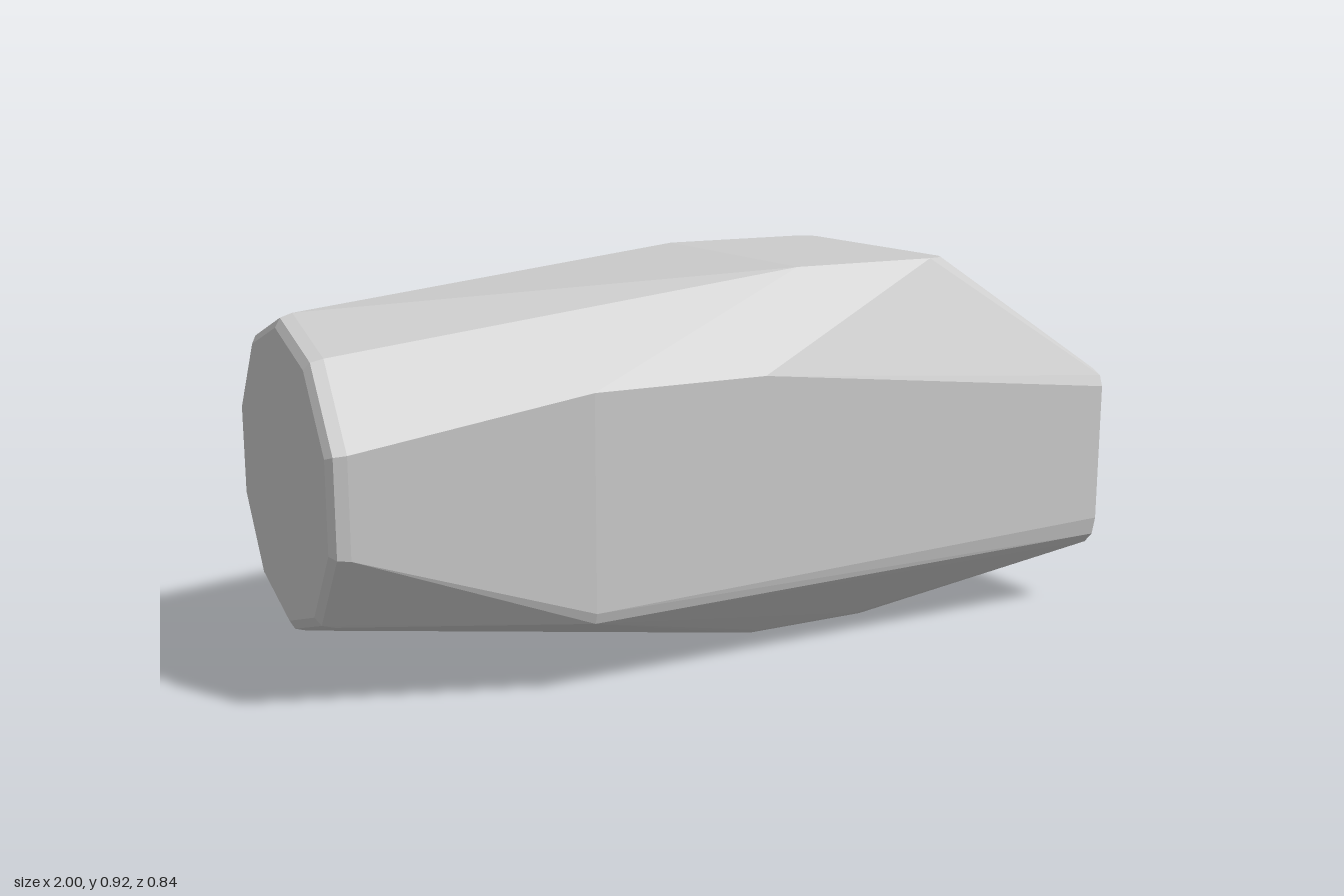
import * as THREE from 'three';
import { ConvexGeometry } from 'three/addons/geometries/ConvexGeometry.js';

export function createModel() {
  const group = new THREE.Group();
  group.name = 'facetedBody';
  const points = [];
  const mirrored = (list) => {
    for (const [x, y, z] of list) {
      points.push(new THREE.Vector3(x, y, z), new THREE.Vector3(x, y, -z));
    }
  };

  // Flat right end with clipped corners
  mirrored([[1, 0.62, 0.385], [1, 0.607, 0.41], [1, 0.58, 0.42],
    [1, 0.235, 0.42], [1, 0.19, 0.41], [1, 0.163, 0.385]]);

  // Flat side panels
  mirrored([[-0.43, 0.693, 0.42], [0, 0.693, 0.42], [-0.43, 0.197, 0.42], [-0.43, 0.172, 0.412]]);

  // Top plateau
  mirrored([[0.15, 0.92, 0.31], [0.53, 0.92, 0.31], [0.568, 0.92, 0.302], [0.58, 0.92, 0.275]]);

  // Narrow bottom flat
  mirrored([[0.1, 0, 0.19], [0.43, 0, 0.19], [0.11, 0.013, 0.215], [0.4, 0.013, 0.215]]);

  // Bevelled ten-sided left end
  for (const [x, r] of [[-1, 0.335], [-0.988, 0.356], [-0.96, 0.365]]) {
    for (let i = 0; i < 10; i++) {
      const a = (i * Math.PI) / 5;
      points.push(new THREE.Vector3(x, 0.485 + r * Math.cos(a), r * Math.sin(a)));
    }
  }

  const body = new THREE.Mesh(
    new ConvexGeometry(points),
    new THREE.MeshStandardMaterial({ color: 0xcccccc, flatShading: true })
  );
  body.name = 'body';
  group.add(body);
  return group;
}
